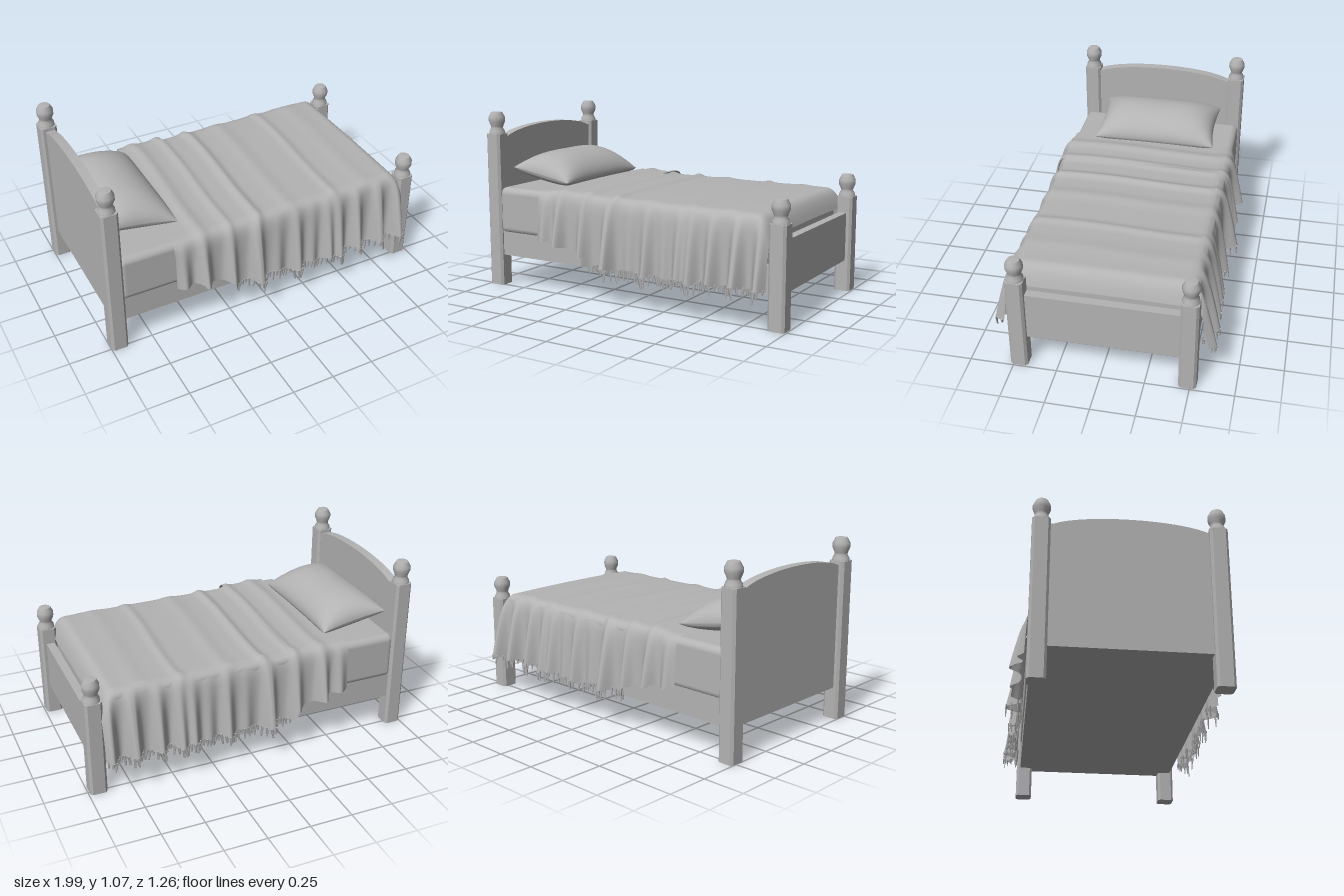
import * as THREE from 'three';
import { mergeGeometries, toCreasedNormals } from 'three/addons/utils/BufferGeometryUtils.js';
import { RoundedBoxGeometry } from 'three/addons/geometries/RoundedBoxGeometry.js';

const grey = new THREE.MeshStandardMaterial({ color: 0xb3b3b3, side: THREE.DoubleSide });
grey.name = 'plain grey';

function part(name, geometry, x = 0, y = 0, z = 0) {
  const mesh = new THREE.Mesh(geometry, grey);
  mesh.name = name;
  mesh.position.set(x, y, z);
  return mesh;
}

// Smooth sheet: rule(u, v) gives a point for u, v in 0..1
function sheet(nu, nv, rule) {
  const pos = [], idx = [];
  for (let i = 0; i <= nu; i++)
    for (let j = 0; j <= nv; j++) pos.push(...rule(i / nu, j / nv));
  for (let i = 0; i < nu; i++)
    for (let j = 0; j < nv; j++) {
      const a = i * (nv + 1) + j, b = a + nv + 1;
      idx.push(a, a + 1, b, b, a + 1, b + 1);
    }
  const g = new THREE.BufferGeometry();
  g.setAttribute('position', new THREE.Float32BufferAttribute(pos, 3));
  g.setIndex(idx);
  g.computeVertexNormals();
  return g;
}

const lerp = THREE.MathUtils.lerp;
const bump = (x, c, w) => Math.exp(-(((x - c) / w) ** 2));

let seed = 7;
const random = () => (seed = (seed * 16807) % 2147483647) / 2147483647;

// Chamfered square post with a turned finial
function post(name, x, z, height) {
  const group = new THREE.Group();
  group.name = name;
  const w = 0.05, c = 0.036;
  const section = new THREE.Shape([
    [w, -c], [w, c], [c, w], [-c, w], [-w, c], [-w, -c], [-c, -w], [c, -w],
  ].map(p => new THREE.Vector2(...p)));
  const shaft = new THREE.ExtrudeGeometry(section, { depth: height - 0.135, bevelEnabled: false });
  shaft.rotateX(-Math.PI / 2);
  group.add(part('postShaft', shaft));
  const profile = [[0.049, -0.136], [0.047, -0.118], [0.036, -0.1], [0.038, -0.088],
    [0.05, -0.06], [0.05, -0.035], [0.034, -0.004], [0, 0]];
  const finial = new THREE.LatheGeometry(profile.map(p => new THREE.Vector2(...p)), 12);
  group.add(part('postFinial', toCreasedNormals(finial, 0.9), 0, height, 0));
  group.position.set(x, 0, z);
  return group;
}

// Pleat depth along the bed: rounded folds of uneven spacing and size
const pleats = [[-0.55, 0.4], [-0.43, 0.75], [-0.26, 0.65], [-0.09, 1], [0.05, 0.25], [0.17, 0.7],
  [0.28, 0.3], [0.38, 0.7], [0.455, 0.75], [0.58, 0.8], [0.73, 1], [0.87, 0.95]];
const pleat = x => Math.min(1, pleats.reduce((sum, [c, size]) => sum + size * bump(x, c, 0.036), 0.1));

// Height of the bedding, with creases across the bed and a rounded foot end
function topHeight(x, z) {
  const s = x + 0.012 * Math.sin(z * 5);
  const folds = 0.012 * bump(s, -0.42, 0.04) + 0.012 * bump(s, -0.25, 0.03)
    + 0.016 * bump(s, -0.06, 0.03) + 0.008 * bump(s, 0.15, 0.05)
    + 0.01 * bump(s, 0.44, 0.03) + 0.006 * bump(s, 0.66, 0.06);
  const k = Math.max(0, (x - 0.8) / 0.1);
  return 0.612 + 0.008 * (1 - (z / 0.53) ** 2) + folds - 0.1 * k ** 3;
}

// Point on a draped layer; s runs -1..1 across the bed from hem to hem
function drape(x, s, hem, lift) {
  const side = Math.sign(s), a = Math.abs(s);
  if (a < 0.5) {
    const z = s * 0.96;
    return [x, topHeight(x, z) + lift, z];
  }
  const d = (a - 0.5) * 2;
  const top = topHeight(x, 0.48) + lift;
  const y = top - (top - hem) * Math.pow(d, 1.25);
  const z = 0.48 + 0.046 * (1 - Math.exp(-d * 9)) + d * 0.1 * pleat(x + side * 0.004) + lift * 0.7;
  return [x, y, side * z];
}

// Layer between x0 and x1; its head edge slants by "slant" down the sides
function layer(x0, x1, slant, hemAt, lift, nx) {
  return sheet(nx, 72, (u, v) => {
    const s = v * 2 - 1;
    const down = Math.max(0, Math.abs(s) - 0.5) * 2;
    const x = lerp(x0 + slant * down, x1, u);
    return drape(x, s, hemAt(x), lift);
  });
}

// Ragged hem strips along both sides
function tassels(hemAt) {
  const list = [];
  for (const side of [-1, 1])
    for (let x = -0.22; x < 0.9; x += 0.018) {
      const [px, py, pz] = drape(x, side, hemAt(x), 0);
      const length = 0.03 + 0.045 * random();
      const g = new THREE.CylinderGeometry(0.011, 0.005, length, 5);
      g.scale(1, 1, 0.5);
      g.rotateZ((random() - 0.5) * 0.4);
      g.translate(px, py - length / 2 + 0.01, pz);
      list.push(g);
    }
  return mergeGeometries(list);
}

// Board across the bed; its top rises by "rise" in the middle
function board(x0, x1, top, rise) {
  const s = new THREE.Shape();
  s.moveTo(-0.46, 0.19);
  s.lineTo(0.46, 0.19);
  s.lineTo(0.46, top);
  s.lineTo(0.42, top);
  s.bezierCurveTo(0.25, top + rise * 1.33, -0.25, top + rise * 1.33, -0.42, top);
  s.lineTo(-0.46, top);
  const g = new THREE.ExtrudeGeometry(s, { depth: x1 - x0, bevelEnabled: false, curveSegments: 20 });
  g.rotateY(Math.PI / 2);
  g.translate(x0, 0, 0);
  return toCreasedNormals(g, 0.5);
}

// Cushion half with pinched corners, pushed up or down by "height"
function pillowHalf(height, power) {
  return sheet(28, 28, (u, v) => {
    const a = Math.sin((u - 0.5) * Math.PI), b = Math.sin((v - 0.5) * Math.PI);
    const puff = Math.pow(Math.max(0, (1 - a * a) * (1 - b ** 4)), power);
    return [a * 0.208 * (1 - 0.04 * (1 - b * b)), height * puff, b * 0.382 * (1 - 0.05 * (1 - a * a))];
  });
}

export function createModel() {
  const bed = new THREE.Group();
  bed.name = 'bed';

  // Frame
  for (const [side, z] of [['back', -0.485], ['front', 0.47]]) {
    bed.add(post(side + 'HeadPost', -0.95, z, 1.07));
    bed.add(post(side + 'FootPost', 0.942, z, 0.71));
    bed.add(part(side + 'SideRail', new THREE.BoxGeometry(1.86, 0.16, 0.04), 0, 0.27, z + Math.sign(z) * 0.008));
  }
  bed.add(part('headboard', board(-0.97, -0.915, 0.915, 0.055)));
  bed.add(part('footboard', board(0.91, 0.96, 0.48, 0)));
  bed.add(part('bedBase', new THREE.BoxGeometry(1.88, 0.03, 0.98), 0, 0.205, -0.008));

  // Mattress and pillow
  bed.add(part('mattress', new RoundedBoxGeometry(1.78, 0.285, 1.03, 4, 0.04), -0.03, 0.468, -0.006));
  const pillow = new THREE.Group();
  pillow.name = 'pillow';
  pillow.add(part('pillowTop', pillowHalf(0.125, 0.55)), part('pillowUnderside', pillowHalf(-0.065, 0.4)));
  pillow.position.set(-0.712, 0.682, -0.018);
  pillow.rotation.z = -0.17;
  bed.add(pillow);

  // Bedding layers
  const spreadHem = x => 0.22 - 0.015 * bump(x, 0.2, 0.3) + 0.008 * Math.sin(x * 37);
  bed.add(part('topSheet', layer(-0.6, -0.36, 0, () => 0.325, 0.003, 40)));
  bed.add(part('turnedDownFold', layer(-0.52, -0.235, 0.07, x => 0.33 - (x + 0.5) * 0.24, 0.014, 44)));
  bed.add(part('bedspread', layer(-0.29, 0.905, 0.04, spreadHem, 0.003, 170)));
  bed.add(part('fringe', tassels(spreadHem)));
  return bed;
}
